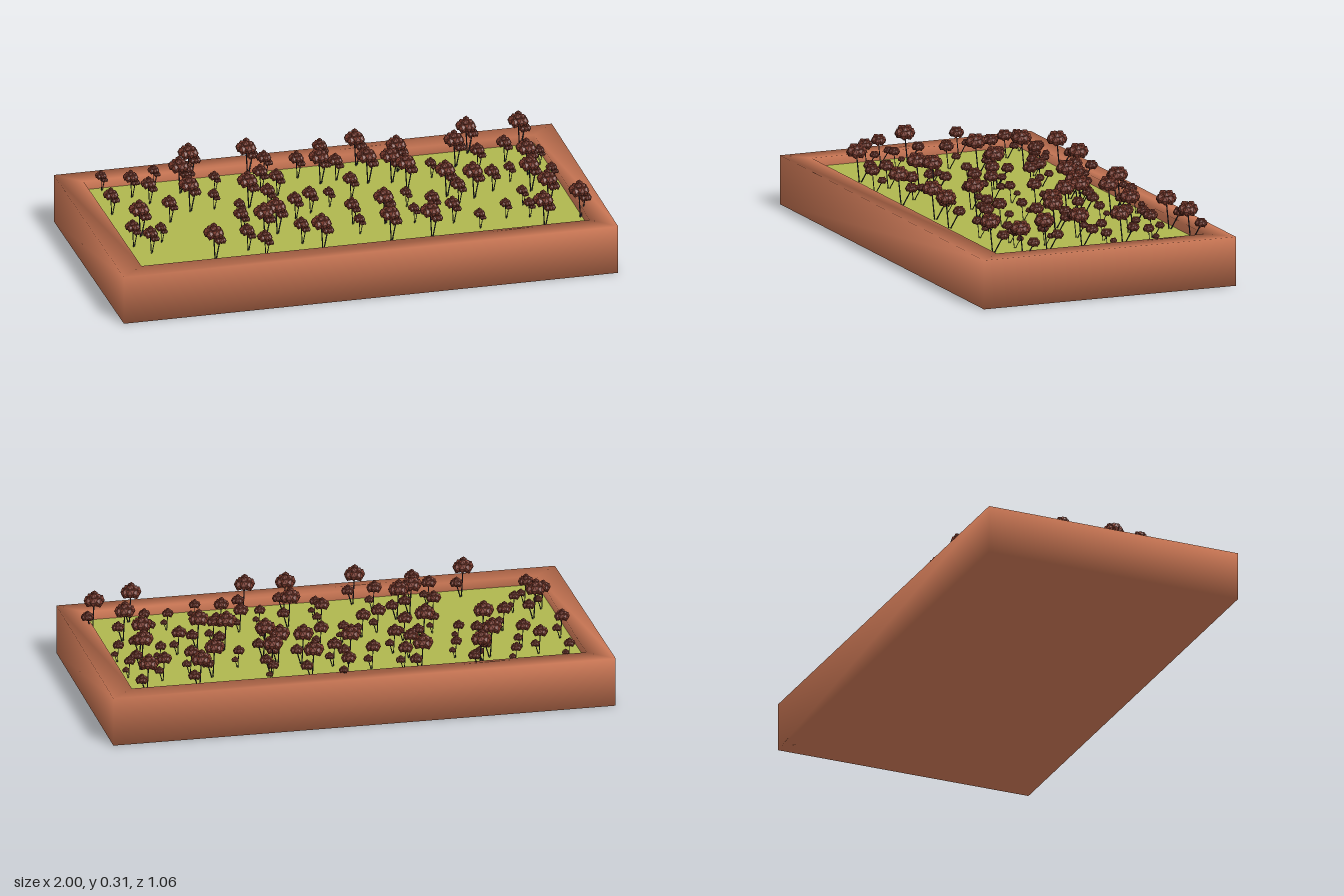
import * as THREE from 'three';
import { mergeGeometries } from 'three/addons/utils/BufferGeometryUtils.js';

const SOIL_Y = 0.16;

// Box tray from four corner loops; each corner's normal points diagonally out of
// (or, on the inside, into) the tray, which gives soft, rounded-looking shading
function trayGeometry() {
  const position = [], normal = [], index = [0, 3, 2, 0, 2, 1];
  const loop = (y, x, z, frontRight, out, up) => {
    position.push(-x, y, z, frontRight, y, z, x, y, -z, -x, y, -z);
    for (const [sx, sz] of [[-1, 1], [1, 1], [1, -1], [-1, -1]]) {
      normal.push(...new THREE.Vector3(sx * out, up, sz * out).normalize());
    }
  };
  loop(0, 1, 0.53, 0.985, 1, -1);
  loop(0.195, 1, 0.53, 0.985, 1, 1);
  loop(0.195, 0.905, 0.437, 0.895, -1, 1);
  loop(SOIL_Y - 0.01, 0.905, 0.437, 0.895, -1, 0);
  for (let r = 0; r < 3; r++) {
    for (let k = 0; k < 4; k++) {
      const a = r * 4 + k, b = r * 4 + (k + 1) % 4;
      index.push(a, b, b + 4, a, b + 4, a + 4);
    }
  }
  const g = new THREE.BufferGeometry();
  g.setAttribute('position', new THREE.Float32BufferAttribute(position, 3));
  g.setAttribute('normal', new THREE.Float32BufferAttribute(normal, 3));
  g.setIndex(index);
  return g;
}

// One bloom: a faceted core, a full outer ring of petals and a tighter upper ring
function bloomGeometry(radius) {
  const lump = (w, h, x, y, z, turn) => new THREE.IcosahedronGeometry(1, 0)
    .scale(w, h, w * 0.9).rotateY(turn).translate(x, y, z);
  const parts = [lump(0.8, 0.62, 0, 0, 0, 0.3)];
  const petalRing = (count, ring, y, w, h) => {
    for (let i = 0; i < count; i++) {
      const a = (i / count) * Math.PI * 2 + ring;
      parts.push(lump(w, h, Math.cos(a) * ring, y + (i % 2) * 0.12, Math.sin(a) * ring, -a));
    }
  };
  petalRing(7, 0.54, -0.1, 0.46, 0.5);
  petalRing(4, 0.32, 0.32, 0.38, 0.36);
  return mergeGeometries(parts).scale(radius, radius, radius);
}

// Thin straight stem between two points
function stemGeometry(from, to) {
  const a = new THREE.Vector3(...from), b = new THREE.Vector3(...to);
  return new THREE.TubeGeometry(new THREE.LineCurve3(a, b), 1, 0.0025, 5);
}

// Seeded numbers from 0 to 1
function seeded(seed) {
  return () => {
    seed = (seed * 16807) % 2147483647;
    return seed / 2147483647;
  };
}

export function createModel() {
  const model = new THREE.Group();
  model.name = 'flowerPlanter';

  const material = (name, color) => {
    const m = new THREE.MeshStandardMaterial({ color });
    m.name = name;
    return m;
  };
  const terracotta = material('terracotta', 0xc87553);
  const moss = material('moss green', 0xb0b84f);
  const petal = material('dark red petals', 0x7c3a2c);
  petal.flatShading = true;
  const stalk = material('dark stalks', 0x2c2b36);

  const add = (parent, name, geometry, mat) => {
    const mesh = new THREE.Mesh(geometry, mat);
    mesh.name = name;
    parent.add(mesh);
    return mesh;
  };

  add(model, 'tray', trayGeometry(), terracotta);
  add(model, 'soil', new THREE.PlaneGeometry(1.81, 0.874).rotateX(-Math.PI / 2), moss)
    .position.y = SOIL_Y;

  // Full-size plant: a tall main bloom and a lower side bloom
  const blooms = mergeGeometries([
    bloomGeometry(0.043).translate(0, 0.121, 0),
    bloomGeometry(0.027).translate(0.036, 0.07, -0.04)]);
  const stems = mergeGeometries([
    stemGeometry([0.008, 0, -0.008], [0, 0.11, 0]),
    stemGeometry([0.014, 0, -0.014], [0.036, 0.065, -0.04])]);

  const planted = [];
  const addPlant = (name, size, x, z) => {
    const plant = new THREE.Group();
    plant.name = name;
    plant.position.set(x, SOIL_Y, z);
    plant.scale.setScalar(size);
    add(plant, 'blooms', blooms, petal);
    add(plant, 'stems', stems, stalk);
    model.add(plant);
    planted.push(plant.position);
  };

  // Tall and medium plants stand at chosen spots [x, z]
  const tallSpots = [
    [-0.49, -0.42], [-0.56, -0.3], [-0.26, -0.41], [0.17, -0.39], [0.62, -0.4], [0.83, -0.4],
    [0.54, -0.28], [0.31, -0.29], [-0.01, -0.25], [0.17, -0.21], [0.26, -0.19], [0.3, -0.11],
    [0.79, -0.13], [0.76, 0.03], [0.43, 0], [0.53, 0.04], [-0.34, -0.09], [-0.57, -0.11],
    [-0.82, 0.08], [-0.36, 0.23], [-0.3, 0.19], [0.13, 0.2], [0.79, 0.19], [-0.6, 0.38],
    [-0.17, 0.39], [0.11, 0.37], [0.27, 0.38], [0.72, 0.39], [0.88, 0.33]];
  const mediumSpots = [
    [-0.2, -0.37], [-0.52, -0.34], [-0.08, -0.33], [0.06, -0.27], [0.62, -0.23], [0.74, -0.28],
    [0.07, -0.08], [-0.2, -0.18], [-0.12, 0.02], [-0.23, 0.31], [-0.43, 0.15], [0.01, 0.17],
    [0.33, 0.18], [0.39, 0.26], [-0.67, -0.03], [-0.75, -0.31], [-0.7, -0.23], [-0.25, -0.24],
    [-0.27, -0.05], [-0.19, 0.06], [-0.87, 0.17], [-0.4, 0.4], [-0.87, -0.16], [-0.82, 0.25],
    [0.62, -0.01], [0.46, 0.08], [-0.45, 0.32], [0.04, -0.43]];
  for (const [x, z] of tallSpots) addPlant('tallPlant', 1, x, z);
  for (const [x, z] of mediumSpots) addPlant('mediumPlant', 0.74, x, z);

  // Small plants are scattered in the gaps between those already planted
  const random = seeded(71);
  for (let tries = 0; planted.length < 76 && tries < 5000; tries++) {
    const x = (random() * 2 - 1) * 0.87, z = (random() * 2 - 1) * 0.42;
    if (planted.every((p) => Math.hypot(p.x - x, p.z - z) > 0.09)) {
      addPlant('smallPlant', 0.56, x, z);
    }
  }
  return model;
}
